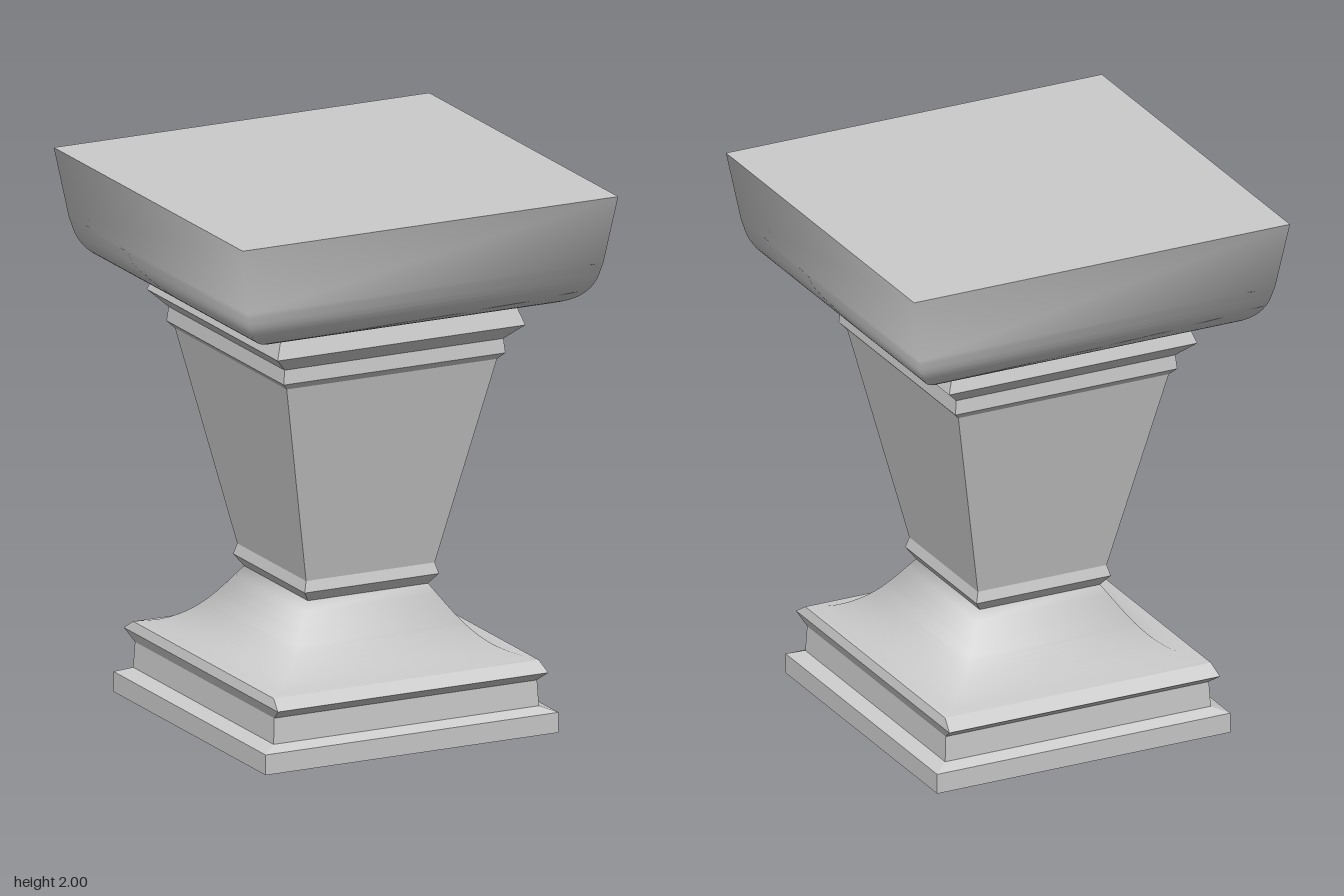
import * as THREE from 'three';

const material = new THREE.MeshStandardMaterial({ color: 0xcccccc });
const CORNERS = [[1, 1], [1, -1], [-1, -1], [-1, 1]];

// Lofts rectangular sections [y, halfWidth, halfDepth] from bottom to top.
function loft(name, sections, smooth = false) {
  const positions = [];
  const index = [];
  for (const [y, hx, hz] of sections) {
    for (const [sx, sz] of CORNERS) positions.push(sx * hx, y, sz * hz);
  }
  for (let r = 0; r < sections.length - 1; r++) {
    for (let i = 0; i < 4; i++) {
      const a = r * 4 + i;
      const b = r * 4 + (i + 1) % 4;
      index.push(a, b, b + 4, a, b + 4, a + 4);
    }
  }
  let geometry = new THREE.BufferGeometry();
  geometry.setAttribute('position', new THREE.Float32BufferAttribute(positions, 3));
  geometry.setIndex(index);
  if (!smooth) geometry = geometry.toNonIndexed();
  geometry.computeVertexNormals();
  const mesh = new THREE.Mesh(geometry, material);
  mesh.name = name;
  return mesh;
}

// Runs a smooth curve through a few profile points.
function curved(points, steps) {
  const curve = new THREE.CatmullRomCurve3(
    points.map(([y, hx, hz]) => new THREE.Vector3(hx, y, hz)), false, 'centripetal');
  return curve.getPoints(steps).map((p) => [p.y, p.x, p.z]);
}

// Flat horizontal cap, facing up or down.
function cap(name, y, hx, hz, up) {
  const mesh = new THREE.Mesh(new THREE.PlaneGeometry(hx * 2, hz * 2), material);
  mesh.rotation.x = up ? -Math.PI / 2 : Math.PI / 2;
  mesh.position.y = y;
  mesh.name = name;
  return mesh;
}

export function createModel() {
  const model = new THREE.Group();
  model.name = 'pedestal';

  // Stepped foot
  model.add(cap('underside', 0, 0.585, 0.59, false));
  model.add(loft('plinth', [
    [0, 0.585, 0.59], [0.075, 0.585, 0.59], [0.095, 0.53, 0.545],
    [0.19, 0.525, 0.54], [0.23, 0.54, 0.598], [0.265, 0.53, 0.545],
  ]));

  // Concave sweep up to the neck
  model.add(loft('flaredBase', curved([
    [0.265, 0.53, 0.545], [0.285, 0.455, 0.47], [0.32, 0.39, 0.41],
    [0.38, 0.33, 0.345], [0.51, 0.24, 0.248],
  ], 16), true));

  model.add(loft('neckRing', [
    [0.51, 0.24, 0.248], [0.55, 0.268, 0.278], [0.59, 0.257, 0.267],
  ]));

  // Shaft widening upwards
  model.add(loft('shaft', [
    [0.59, 0.257, 0.267], [1.365, 0.42, 0.433], [1.39, 0.443, 0.455],
  ]));

  model.add(loft('upperMoulding', [
    [1.39, 0.443, 0.455], [1.443, 0.437, 0.45],
    [1.5, 0.495, 0.508], [1.57, 0.47, 0.485],
  ]));

  // Rounded capital with flat top
  model.add(loft('capital', [
    ...curved([
      [1.57, 0.47, 0.485], [1.6, 0.6, 0.605], [1.63, 0.655, 0.645],
      [1.68, 0.69, 0.675], [1.75, 0.71, 0.695],
    ], 14),
    [2, 0.75, 0.733],
  ], true));
  model.add(cap('topSlab', 2, 0.75, 0.733, true));

  return model;
}
